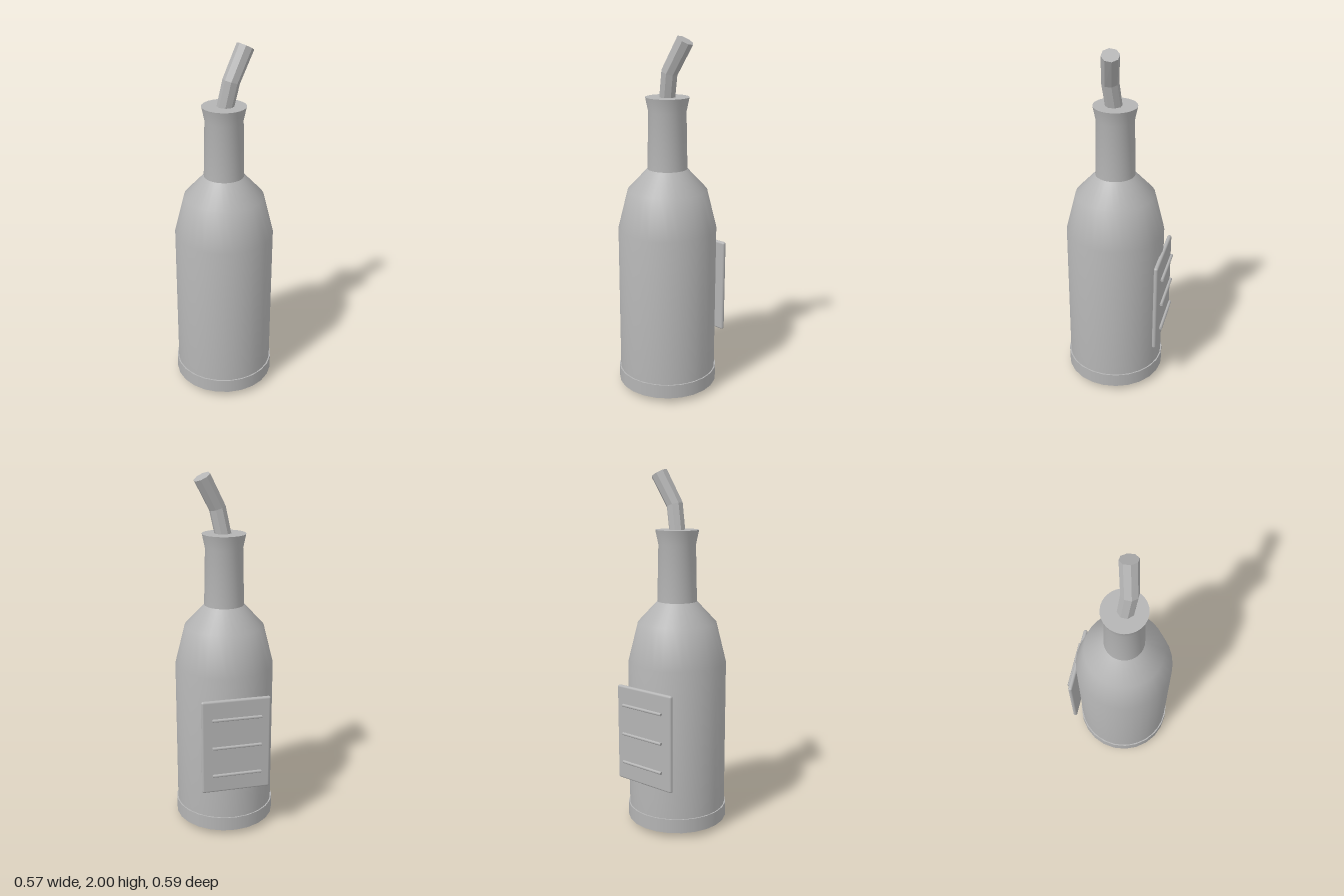
import * as THREE from 'three';
import { toCreasedNormals } from 'three/addons/utils/BufferGeometryUtils.js';
import { RoundedBoxGeometry } from 'three/addons/geometries/RoundedBoxGeometry.js';

const AXIS_Z = 0.012; // the bottle axis sits slightly forward of the centre

export function createModel() {
  const model = new THREE.Group();
  model.name = 'bottle';
  const grey = new THREE.MeshStandardMaterial({ color: 0xb4b4b4 });
  grey.name = 'plain grey';

  const add = (name, geometry, x = 0, y = 0, z = 0) => {
    const mesh = new THREE.Mesh(geometry, grey);
    mesh.name = name;
    mesh.position.set(x, y, z);
    model.add(mesh);
    return mesh;
  };
  const turned = (profile, segments) => toCreasedNormals(
    new THREE.LatheGeometry(profile.map(([r, y]) => new THREE.Vector2(r, y)), segments), 0.62);

  // Body with bevelled foot and rounded shoulder
  add('body', turned([
    [0, 0], [0.205, 0], [0.275, 0.056], [0.275, 0.95], [0.22, 1.17], [0.108, 1.29], [0, 1.29],
  ], 32), 0, 0, AXIS_Z);

  // Band around the foot
  add('baseBand', new THREE.CylinderGeometry(0.283, 0.283, 0.08, 24), 0, 0.07, AXIS_Z);

  // Neck with flared lip and flat top
  add('neck', turned([
    [0, 1.285], [0.11, 1.285], [0.103, 1.6], [0.1195, 1.678], [0, 1.678],
  ], 32), 0, 0, AXIS_Z);

  // Bent pouring spout: each ring of a cylinder is moved onto a tilted section
  const sections = [
    { centre: [-0.01, 1.6, 0.012], normal: [0.18, 1, 0.09] },
    { centre: [0.032, 1.81, 0.03], normal: [0.32, 1, -0.02] },
    { centre: [0.12, 1.977, 0.004], normal: [0.52, 1, -0.15] },
  ].map(({ centre, normal }) => ({
    centre: new THREE.Vector3(...centre),
    turn: new THREE.Quaternion().setFromUnitVectors(
      new THREE.Vector3(0, 1, 0), new THREE.Vector3(...normal).normalize()),
  }));
  let spout = new THREE.CylinderGeometry(0.048, 0.045, 2, 8, 2);
  spout.rotateY(Math.PI / 8);
  const pos = spout.attributes.position;
  const p = new THREE.Vector3();
  for (let i = 0; i < pos.count; i++) {
    p.fromBufferAttribute(pos, i);
    const section = sections[Math.round(p.y) + 1];
    p.setY(0).applyQuaternion(section.turn).add(section.centre);
    pos.setXYZ(i, p.x, p.y, p.z);
  }
  spout = spout.toNonIndexed();
  spout.computeVertexNormals();
  add('spout', spout);

  // Label plate on the back with three raised rods
  add('labelPlate', new RoundedBoxGeometry(0.386, 0.545, 0.024, 3, 0.0115), 0, 0.563, -0.265);
  for (const y of [0.4, 0.565, 0.73]) {
    const rod = new THREE.CylinderGeometry(0.0088, 0.0088, 0.275, 8);
    rod.rotateZ(Math.PI / 2);
    add('labelRod', rod, 0, y, -0.291);
  }

  return model;
}
